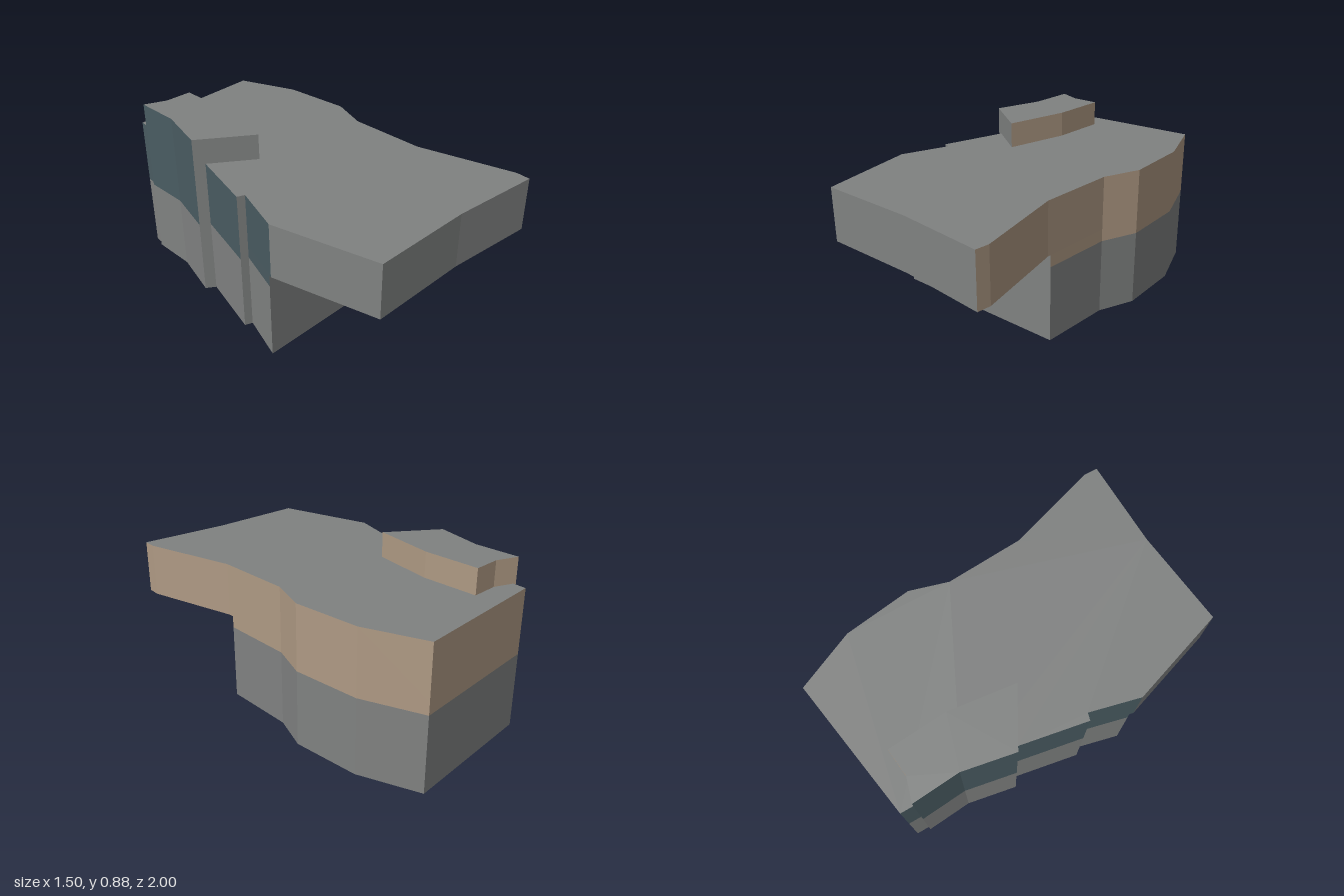
import * as THREE from 'three';

const mat = (name, color) => {
  const m = new THREE.MeshStandardMaterial({ color });
  m.name = name;
  return m;
};

// Plan outlines as [x, z]
const westSide = [
  [-0.51, 0.27], [-0.55, 0.27], [-0.585, -0.087], [-0.64, -0.1],
  [-0.665, -0.37], [-0.75, -0.6], [-0.735, -0.6], [-0.755, -0.67],
];
const eastSide = [[-0.07, -1], [0.15, -0.75], [0.3, -0.42], [0.3, -0.21]];
const lowerPlan = [...westSide, ...eastSide, [0.43, 0.16], [-0.5, 0.52]];
const upperPlan = [
  ...westSide, ...eastSide, [0.44, 0.18], [0.73, 0.61], [0.75, 0.68],
  [0.29, 0.81], [-0.195, 0.995], [-0.5, 0.54],
];
const roofPlan = [
  [-0.33, -0.025], [-0.64, -0.1], [-0.665, -0.37], [-0.75, -0.6],
  [-0.625, -0.6], [-0.49, -0.655], [-0.385, -0.37],
];

// Upright prism; walls pick their material by the way they face
function storey(name, plan, y0, y1, materials, { top = true, bottom = true, painted = true } = {}) {
  const shape = new THREE.Shape(plan.map(([x, z]) => new THREE.Vector2(x, -z)));
  const src = new THREE.ExtrudeGeometry(shape, { depth: y1 - y0, bevelEnabled: false });
  src.rotateX(-Math.PI / 2).translate(0, y0, 0);
  const pos = src.attributes.position;
  const lists = [[], [], []];
  const tri = new THREE.Triangle();
  const n = new THREE.Vector3();
  for (let i = 0; i < pos.count; i += 3) {
    tri.setFromAttributeAndIndices(pos, i, i + 1, i + 2).getNormal(n);
    if ((n.y > 0.5 && !top) || (n.y < -0.5 && !bottom)) continue;
    let slot = 0;
    if (painted && Math.abs(n.y) < 0.5 && n.z < 0.45) slot = n.x < -0.6 ? 2 : 1;
    for (const p of [tri.a, tri.b, tri.c]) lists[slot].push(p.x, p.y, p.z);
  }
  const geo = new THREE.BufferGeometry();
  geo.setAttribute('position', new THREE.Float32BufferAttribute(lists.flat(), 3));
  geo.computeVertexNormals();
  let start = 0;
  lists.forEach((list, slot) => {
    if (list.length) geo.addGroup(start, list.length / 3, slot);
    start += list.length / 3;
  });
  const mesh = new THREE.Mesh(geo, materials);
  mesh.name = name;
  return mesh;
}

export function createModel() {
  const materials = [
    mat('concrete grey', 0x808281),
    mat('sandy tan', 0xaf9a84),
    mat('dark slate', 0x4a5c62),
  ];
  const group = new THREE.Group();
  group.name = 'building';
  group.add(
    // Plain ground storey
    storey('groundStorey', lowerPlan, 0, 0.4, materials, { top: false, painted: false }),
    // Painted band below the overhang
    storey('lowerBand', lowerPlan, 0.4, 0.465, materials, { top: false, bottom: false }),
    // Upper storey overhanging at the front
    storey('upperStorey', upperPlan, 0.465, 0.745, materials),
    // Raised block on the roof
    storey('roofBlock', roofPlan, 0.745, 0.878, materials, { bottom: false }),
  );
  return group;
}
